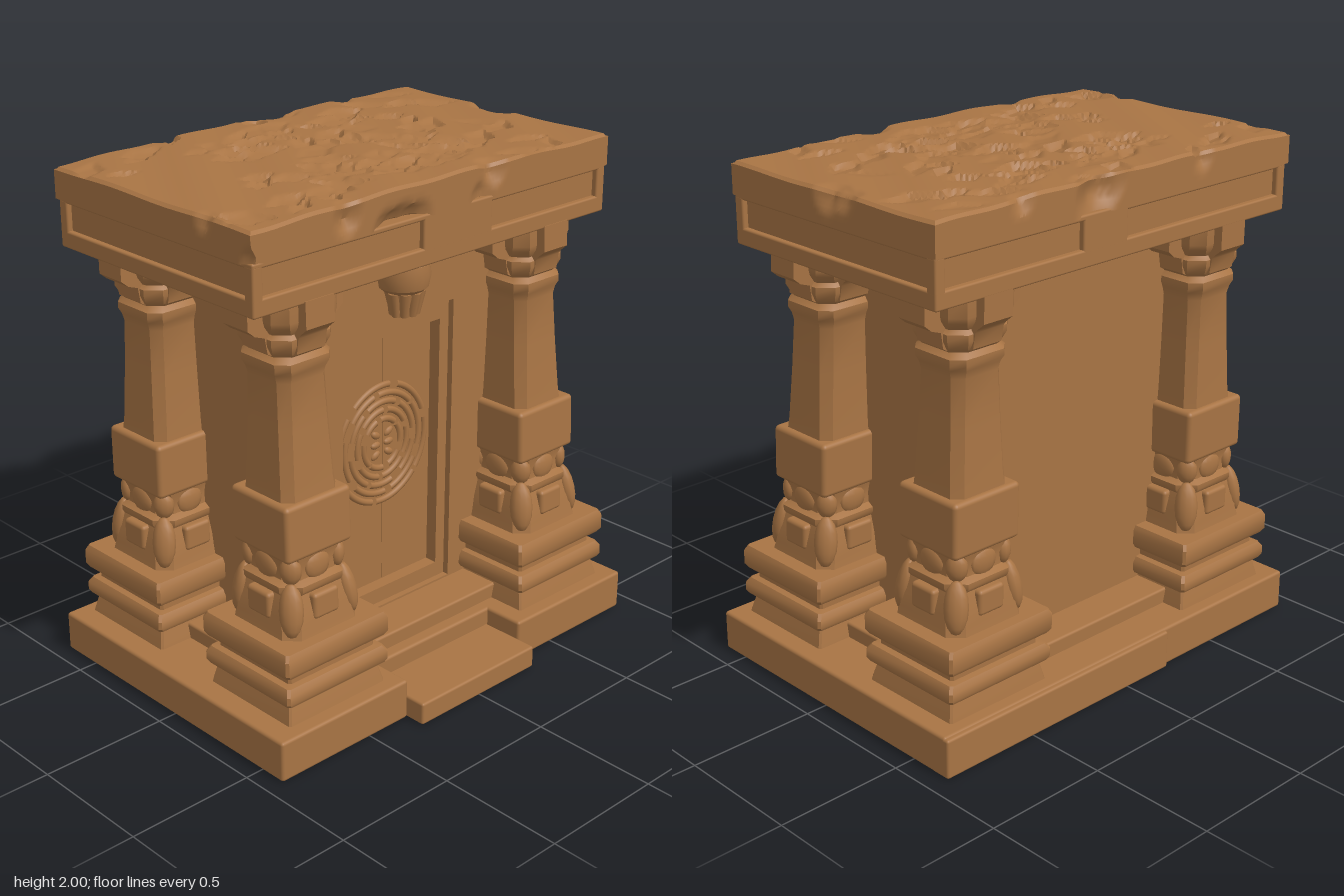
import * as THREE from 'three';
import { toCreasedNormals, mergeVertices } from 'three/addons/utils/BufferGeometryUtils.js';
import { RoundedBoxGeometry } from 'three/addons/geometries/RoundedBoxGeometry.js';

const stone = new THREE.MeshStandardMaterial({ color: 0xa87444 });
stone.name = 'sandstone';

let seed = 7;
const rnd = () => (seed = (seed * 16807) % 2147483647) / 2147483647;

function add(parent, name, geo, x = 0, y = 0, z = 0) {
  const m = new THREE.Mesh(geo, stone);
  m.name = name;
  m.position.set(x, y, z);
  parent.add(m);
  return m;
}

// Block given by its limits, with softly worn edges
function block(parent, name, x0, x1, y0, y1, z0, z1, r = 0.008) {
  const g = new RoundedBoxGeometry(x1 - x0, y1 - y0, z1 - z0, 2, r);
  return add(parent, name, g, (x0 + x1) / 2, (y0 + y1) / 2, (z0 + z1) / 2);
}

// Stack of chamfered squares: rows of [y, half width, chamfer]
function loft(rows) {
  const pos = [], idx = [];
  for (const [y, h, c] of rows) {
    const k = h - c;
    for (const [x, z] of [[h, -k], [h, k], [k, h], [-k, h], [-h, k], [-h, -k], [-k, -h], [k, -h]]) pos.push(x, y, z);
  }
  const n = rows.length;
  for (let r = 0; r < n - 1; r++) for (let i = 0; i < 8; i++) {
    const a = r * 8 + i, b = r * 8 + (i + 1) % 8, c = a + 8, d = b + 8;
    idx.push(a, c, b, b, c, d);
  }
  pos.push(0, rows[0][0], 0, 0, rows[n - 1][0], 0);
  for (let i = 0; i < 8; i++) {
    const j = (i + 1) % 8, t = (n - 1) * 8;
    idx.push(n * 8, i, j, n * 8 + 1, t + j, t + i);
  }
  const g = new THREE.BufferGeometry();
  g.setAttribute('position', new THREE.Float32BufferAttribute(pos, 3));
  g.setIndex(idx);
  return toCreasedNormals(g, 0.6);
}

// Bracket arm of the capital, running along x
function bracketArm(reach, width) {
  const half = [[0.1, 1.47], [0.135, 1.49], [0.145, 1.55], [reach - 0.03, 1.565], [reach, 1.59], [reach, 1.69]];
  const pts = [...half, ...half.map(([x, y]) => [-x, y]).reverse()].map(p => new THREE.Vector2(...p));
  const g = new THREE.ExtrudeGeometry(new THREE.Shape(pts), { depth: width, bevelEnabled: false });
  return toCreasedNormals(g.translate(0, 0, -width / 2), 0.6);
}

function makeColumn(x, z, lean) {
  const col = new THREE.Group();
  col.name = 'column';
  const shear = new THREE.Matrix4().makeShear(0, 0, -Math.sign(x) * 0.006, lean, 0, 0);
  const part = (name, g) => add(col, name, g.applyMatrix4(shear));

  part('columnBase', loft([[0.15, 0.235, 0.008], [0.175, 0.23, 0.008], [0.235, 0.215, 0.008], [0.24, 0.238, 0.01],
    [0.255, 0.247, 0.01], [0.285, 0.247, 0.01], [0.308, 0.232, 0.01], [0.312, 0.208, 0.01], [0.345, 0.208, 0.01],
    [0.352, 0.238, 0.01], [0.37, 0.25, 0.01], [0.425, 0.25, 0.01], [0.447, 0.238, 0.01]]).scale(1, 1, 0.94));
  part('lowerShaft', loft([[0.44, 0.18, 0.05], [0.48, 0.172, 0.05], [0.53, 0.165, 0.05], [0.6, 0.145, 0.05],
    [0.615, 0.155, 0.06], [0.635, 0.155, 0.06], [0.65, 0.13, 0.05], [0.69, 0.127, 0.05], [0.74, 0.138, 0.04]]));
  // Carved leaves on the faces and corners of the lower shaft
  for (let i = 0; i < 4; i++) {
    const a = i * Math.PI / 2;
    part('carvedPanel', new RoundedBoxGeometry(0.12, 0.1, 0.05, 2, 0.015).translate(0, 0.55, 0.152).rotateY(a));
    part('carvedLobe', new THREE.SphereGeometry(1, 12, 8).scale(0.06, 0.055, 0.022).translate(0, 0.685, 0.125).rotateY(a));
    part('cornerLeaf', new THREE.SphereGeometry(1, 12, 8).scale(0.045, 0.1, 0.035).rotateX(-0.2)
      .translate(0, 0.55, 0.19).rotateY(a + Math.PI / 4));
    part('cornerLobe', new THREE.SphereGeometry(1, 12, 8).scale(0.04, 0.055, 0.03).translate(0, 0.69, 0.155).rotateY(a + Math.PI / 4));
  }
  part('shaftBlock', new RoundedBoxGeometry(0.31, 0.215, 0.3, 3, 0.018).translate(0, 0.843, 0));
  part('shaft', loft([[0.94, 0.13, 0.035], [1.0, 0.125, 0.035], [1.2, 0.116, 0.035], [1.38, 0.11, 0.035],
    [1.41, 0.118, 0.04], [1.43, 0.127, 0.04], [1.455, 0.127, 0.04], [1.475, 0.11, 0.04]]));
  part('capital', loft([[1.46, 0.1, 0.04], [1.485, 0.12, 0.045], [1.52, 0.137, 0.05], [1.545, 0.137, 0.05],
    [1.56, 0.125, 0.045], [1.59, 0.145, 0.045], [1.61, 0.15, 0.045], [1.69, 0.15, 0.045]]));
  part('capitalArm', bracketArm(0.217, 0.13));
  part('capitalArm', bracketArm(0.187, 0.13).rotateY(Math.PI / 2));
  col.position.set(x, 0, z);
  return col;
}

function rect(shape, x0, x1, y0, y1) {
  return shape.moveTo(x0, y0).lineTo(x1, y0).lineTo(x1, y1).lineTo(x0, y1).closePath();
}

// Upright slab with a rectangular opening
function slabWithOpening(outer, hole, depth) {
  const s = rect(new THREE.Shape(), ...outer);
  s.holes.push(rect(new THREE.Path(), ...hole));
  return new THREE.ExtrudeGeometry(s, { depth, bevelEnabled: false });
}

// Weathered roof slab: flaked hollows on top and broken edges
function roofSlab() {
  const g = mergeVertices(new THREE.BoxGeometry(1.775, 0.125, 1.075, 130, 6, 80).deleteAttribute('normal').deleteAttribute('uv'));
  const flakes = Array.from({ length: 110 }, () => {
    const w = rnd() < 0.6 ? 0.5 : 1;
    return { x: (rnd() * 2 - 1) * 0.85 * w, z: (rnd() * 2 - 1) * 0.52 * (0.5 + 0.5 * w), l: 0.06 + rnd() * 0.07,
      w: 0.035 + rnd() * 0.035, a: (rnd() - 0.5) * 1.8, d: 0.01 + rnd() * 0.022 };
  });
  const chips = [[-0.46, 0.02, 0.54, 0.07], [-0.27, -0.07, 0.55, 0.08], [-0.2, -0.07, 0.55, 0.09], [-0.13, -0.07, 0.55, 0.08],
    [0.2, -0.05, 0.55, 0.07], [0.25, 0.05, 0.54, 0.08], [0.88, 0.05, 0.0, 0.08], [0.88, 0.06, -0.08, 0.07], [-0.88, 0.05, 0.3, 0.05],
    [0.15, 0, -0.55, 0.11], [0.1, 0.05, -0.55, 0.1], [-0.4, 0.05, -0.54, 0.06], [-0.88, -0.05, 0.54, 0.06], [0.5, 0.06, -0.54, 0.06]];
  const p = g.attributes.position, v = new THREE.Vector3(), c = new THREE.Vector3();
  for (let i = 0; i < p.count; i++) {
    v.fromBufferAttribute(p, i);
    const { x, z } = v;
    if (v.y > 0.06) {
      const rim = Math.max(Math.abs(x) / 0.8875, Math.abs(z) / 0.5375);
      let cut = rim > 0.99 ? 0.01 : 0;
      for (const q of flakes) {
        const dx = x - q.x, dz = z - q.z, ca = Math.cos(q.a), sa = Math.sin(q.a);
        const along = (dx * ca + dz * sa) / q.l, across = (dz * ca - dx * sa) / q.w;
        const inside = 1 - Math.abs(along) - Math.abs(across);
        if (inside > 0) cut = Math.max(cut, q.d * Math.min(1, inside * 2.5) * (0.7 + 0.5 * across));
      }
      v.y += 0.009 * Math.cos(x * 2.4) + 0.003 * Math.sin(x * 17 + z * 11) - cut;
    }
    for (const [cx, cy, cz, r] of chips) {
      const d = v.distanceTo(c.set(cx, cy, cz));
      if (d < r) {
        const k = (r - d) * 0.45;
        if (Math.abs(cx) > 0.85) v.x -= Math.sign(cx) * k; else v.z -= Math.sign(cz) * k;
        v.y -= Math.sign(cy) * k * 0.5;
      }
    }
    p.setXYZ(i, v.x, v.y, v.z);
  }
  return toCreasedNormals(g, 0.5);
}

export function createModel() {
  const shrine = new THREE.Group();
  shrine.name = 'stoneShrine';

  // Platform, notched at the front for the steps
  block(shrine, 'platform', -0.93, 0.92, 0, 0.16, -0.67, 0.45, 0.012);
  block(shrine, 'platformFrontLeft', 0.3, 0.92, 0, 0.16, 0.38, 0.615, 0.012);
  block(shrine, 'platformFrontRight', -0.93, -0.31, 0, 0.16, 0.38, 0.615, 0.012);
  block(shrine, 'platformBackEdge', -0.22, 0.92, 0, 0.155, -0.686, -0.6, 0.01);
  block(shrine, 'frontStep', -0.312, 0.302, 0, 0.09, 0.4, 0.695, 0.01);
  block(shrine, 'upperStep', -0.7, 0.7, 0.14, 0.22, -0.52, 0.4, 0.01);

  // Columns
  for (const x of [-0.607, 0.61]) {
    shrine.add(makeColumn(x, 0.342, -0.04));
    shrine.add(makeColumn(x, -0.396, -0.014));
  }

  // Chamber with a stepped doorway
  add(shrine, 'chamber', new THREE.BoxGeometry(1.06, 1.54, 0.49), 0, 0.92, -0.125);
  add(shrine, 'frontWall', slabWithOpening([-0.53, 0.53, 0.16, 1.69], [-0.302, 0.297, 0.228, 1.405], 0.11), 0, 0, 0.12);
  add(shrine, 'doorFrame', slabWithOpening([-0.31, 0.305, 0.22, 1.41], [-0.255, 0.25, 0.29, 1.33], 0.085), 0, 0, 0.12);
  for (const s of [-1, 1]) add(shrine, 'doorLeaf', new THREE.BoxGeometry(0.251, 1.036, 0.04), -0.0025 + s * 0.1265, 0.81, 0.135);
  add(shrine, 'doorHandle', new THREE.SphereGeometry(0.014, 10, 8), -0.232, 0.89, 0.162);

  // Worn ring carving on the door
  const carving = new THREE.Group();
  carving.name = 'doorCarving';
  carving.position.set(-0.005, 0.875, 0.154);
  shrine.add(carving);
  for (const r of [0.095, 0.13, 0.163, 0.195, 0.228]) {
    const n = 6;
    for (let i = 0; i < n; i++) {
      const arc = Math.PI * 2 / n * (0.6 + rnd() * 0.35);
      const g = new THREE.TorusGeometry(r, 0.013, 8, 14, arc).rotateZ(i * Math.PI * 2 / n + r * 20).scale(1, 1.05, 0.9);
      add(carving, 'carvedArc', g);
    }
  }
  for (const s of [-1, 1]) for (let i = 0; i < 3; i++) {
    const g = new THREE.SphereGeometry(1, 10, 6).scale(0.026, 0.015, 0.012).rotateZ(s * (i - 1) * 0.5);
    add(carving, 'carvedKnob', g, s * 0.034, (i - 1) * 0.042, 0);
  }

  // Hanging boss above the door
  const profile = [[0, 1.435], [0.052, 1.435], [0.056, 1.47], [0.072, 1.525], [0.095, 1.545], [0.104, 1.59],
    [0.098, 1.635], [0.07, 1.665], [0, 1.68]].map(q => new THREE.Vector2(...q));
  add(shrine, 'hangingBoss', toCreasedNormals(new THREE.LatheGeometry(profile, 20), 0.5), -0.01, 0, 0.265);
  for (let i = 0; i < 5; i++) {
    const g = new THREE.CylinderGeometry(0.024, 0.016, 0.095, 8).rotateX(0.15).translate(0, 1.485, 0.055).rotateY((i - 2) * 0.65);
    add(shrine, 'bossFlute', g, -0.01, 0, 0.265);
  }

  // Entablature with sunken panels
  const [x0, x1, z0, z1] = [-0.885, 0.877, -0.607, 0.458];
  add(shrine, 'entablatureCore', new THREE.BoxGeometry(1.72, 0.18, 1.02), -0.004, 1.775, -0.0745);
  block(shrine, 'lowerBand', x0, x1, 1.68, 1.745, z0, z1);
  block(shrine, 'upperBand', x0, x1, 1.848, 1.87, z0, z1);
  for (const x of [x0, x1 - 0.045]) for (const z of [z0, z1 - 0.045])
    block(shrine, 'cornerPost', x, x + 0.045, 1.73, 1.86, z, z + 0.045);
  block(shrine, 'frontCentreBlock', -0.1, 0.25, 1.73, 1.87, 0.4, z1);
  block(shrine, 'backCentreBlock', -0.02, 0.2, 1.73, 1.87, z0, -0.55);

  // Roof
  add(shrine, 'roofSlab', roofSlab(), -0.007, 1.923, -0.075);
  return shrine;
}
